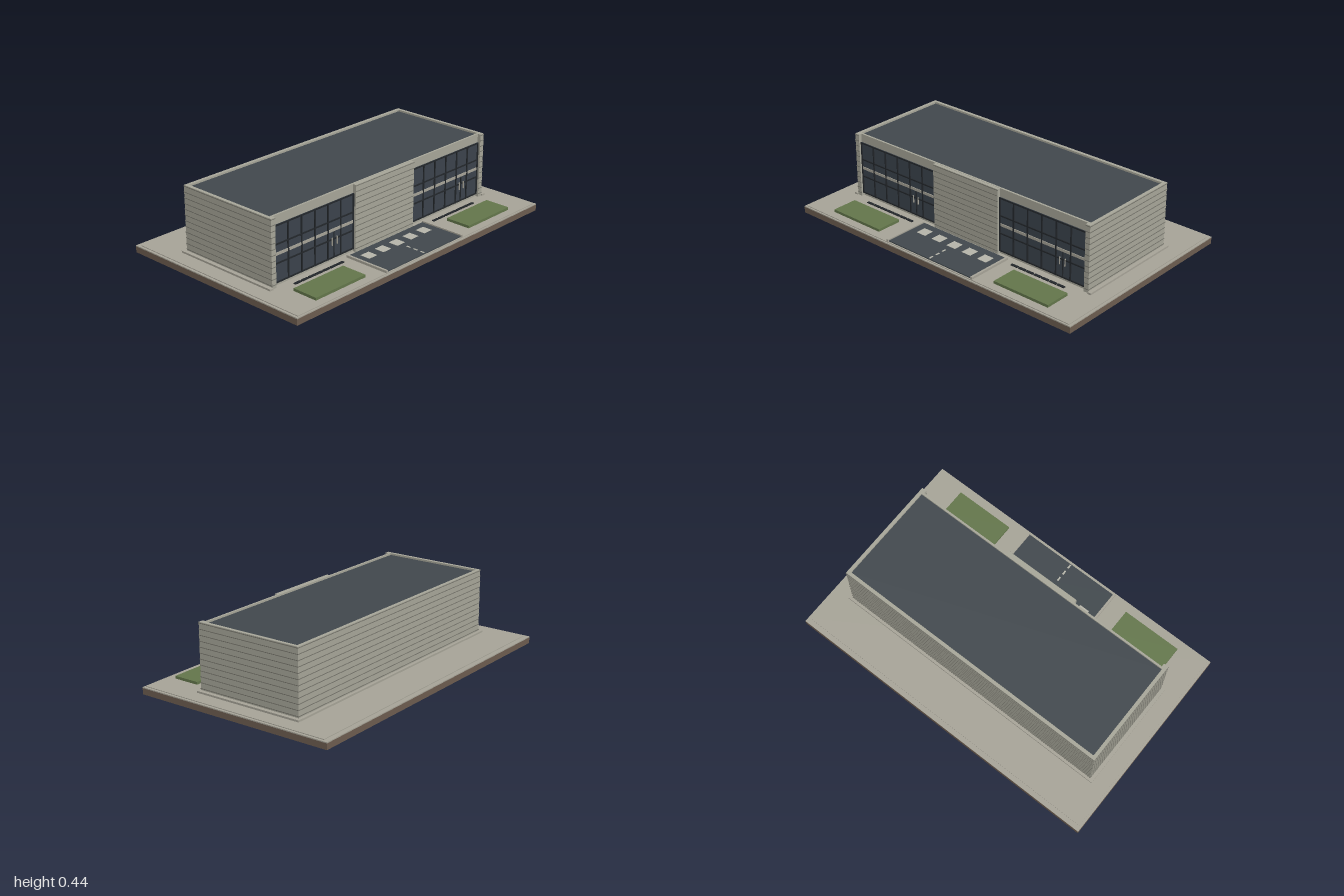
import * as THREE from 'three';

const mat = (name, color) => {
  const m = new THREE.MeshStandardMaterial({ color });
  m.name = name;
  return m;
};

export function createModel() {
  const earth = mat('brown base', 0x6b5b4e);
  const stone = mat('pale stone', 0xa5a296);
  const wall = mat('wall cladding', 0xa5a497);
  const joint = mat('cladding joint', 0x74736a);
  const slate = mat('slate roof and asphalt', 0x40474c);
  const glass = mat('dark glass', 0x3a424b);
  const frame = mat('window frame', 0x23272b);
  const grass = mat('grass', 0x62754a);
  const paint = mat('road paint', 0xb4b3a8);

  const model = new THREE.Group();
  model.name = 'warehouse';

  // Box given by its limits on each axis
  const box = (name, m, x0, x1, y0, y1, z0, z1, parent = model) => {
    const mesh = new THREE.Mesh(new THREE.BoxGeometry(x1 - x0, y1 - y0, z1 - z0), m);
    mesh.position.set((x0 + x1) / 2, (y0 + y1) / 2, (z0 + z1) / 2);
    mesh.name = name;
    parent.add(mesh);
    return mesh;
  };
  const group = (name) => {
    const g = new THREE.Group();
    g.name = name;
    model.add(g);
    return g;
  };

  // Ground
  box('base', earth, -1, 1, 0, 0.036, -0.63, 0.63);
  box('pavingEdge', stone, -1, 1, 0.036, 0.042, -0.63, 0.63);
  box('paving', stone, -0.985, 0.985, 0.042, 0.046, -0.6, 0.62);

  // Walls, with the front stepping back at the two glazed bays
  const TOP = 0.442, walls = group('walls');
  box('core', wall, -0.85, 0.85, 0.046, 0.428, -0.33, 0.29, walls);
  box('backWall', wall, -0.87, 0.87, 0.046, TOP, -0.35, -0.33, walls);
  box('frontWall', wall, -0.85, 0.85, 0.046, TOP, 0.288, 0.3, walls);
  box('centreWall', wall, -0.24, 0.24, 0.046, TOP - 0.001, 0.3, 0.32, walls);
  for (const s of [-1, 1]) {
    const span = (a, b) => (s > 0 ? [a, b] : [-b, -a]);
    box('sideWall', wall, ...span(0.85, 0.87), 0.046, TOP, -0.33, 0.32, walls);
    box('frontPier', wall, ...span(0.84, 0.85), 0.046, TOP, 0.3, 0.32, walls);
    box('sidePlinth', stone, ...span(0.87, 0.893), 0.046, 0.057, -0.367, 0.328, walls);
  }
  box('backPlinth', stone, -0.87, 0.87, 0.046, 0.057, -0.367, -0.35, walls);
  box('roof', slate, -0.85, 0.85, 0.428, 0.431, -0.33, 0.288);

  // Horizontal cladding joints around the building
  const joints = group('claddingJoints');
  for (let i = 0; i < 12; i++) {
    const y = 0.064 + i * 0.0336, y1 = y + 0.004;
    box('backJoint', joint, -0.872, 0.872, y, y1, -0.352, -0.349, joints);
    box('centreJoint', joint, -0.24, 0.24, y, y1, 0.318, 0.3215, joints);
    for (const s of [-1, 1]) {
      const x = s * 0.8705;
      box('sideJoint', joint, x - 0.0015, x + 0.0015, y, y1, -0.35, 0.3215, joints);
      box('pierJoint', joint, s * 0.855 - 0.015, s * 0.855 + 0.015, y, y1, 0.319, 0.3213, joints);
    }
  }

  // Glazed bays with mullions, rails, spandrel and entrance doors
  for (const cx of [-0.54, 0.54]) {
    const bay = group('glazedBay');
    bay.position.x = cx;
    box('glass', glass, -0.3, 0.3, 0.062, 0.39, 0.3, 0.303, bay);
    for (let i = 0; i <= 6; i++) {
      const x = -0.296 + i * 0.0987;
      box('mullion', frame, x - 0.004, x + 0.004, 0.062, 0.39, 0.302, 0.309, bay);
    }
    for (const y of [0.066, 0.173, 0.281, 0.386])
      box('rail', frame, -0.3, 0.3, y - 0.004, y + 0.004, 0.302, 0.308, bay);
    box('spandrel', stone, -0.3, 0.3, 0.218, 0.234, 0.302, 0.307, bay);
    box('doorStile', frame, 0.143, 0.148, 0.066, 0.218, 0.302, 0.308, bay);
    for (const x of [0.127, 0.164])
      box('doorHandle', stone, x - 0.002, x + 0.002, 0.14, 0.185, 0.307, 0.314, bay);
  }

  // Loading yard with kerbs and painted markings
  const yard = group('yard');
  box('asphalt', slate, -0.31, 0.31, 0.046, 0.052, 0.33, 0.612, yard);
  for (const s of [-1, 1])
    box('kerb', stone, s * 0.3165 - 0.0065, s * 0.3165 + 0.0065, 0.046, 0.06, 0.33, 0.618, yard);
  for (let i = -2; i <= 2; i++)
    box('paintedSquare', paint, i * 0.115 - 0.032, i * 0.115 + 0.032, 0.05, 0.0535, 0.377, 0.441, yard);
  for (const z of [0.48, 0.53, 0.58])
    box('paintedDash', paint, -0.005, 0.005, 0.05, 0.0535, z, z + 0.028, yard);

  // Lawns and drain grates in front of each bay
  for (const s of [-1, 1]) {
    const garden = group('garden');
    garden.position.x = s * 0.62;
    box('lawn', grass, -0.185, 0.185, 0.046, 0.062, 0.41, 0.57, garden);
    const drain = group('drain');
    drain.position.x = s * 0.56;
    for (let i = 0; i < 7; i++) {
      const x = -0.187 + i * 0.0537;
      box('grate', frame, x, x + 0.047, 0.045, 0.051, 0.35, 0.366, drain);
    }
  }
  return model;
}
